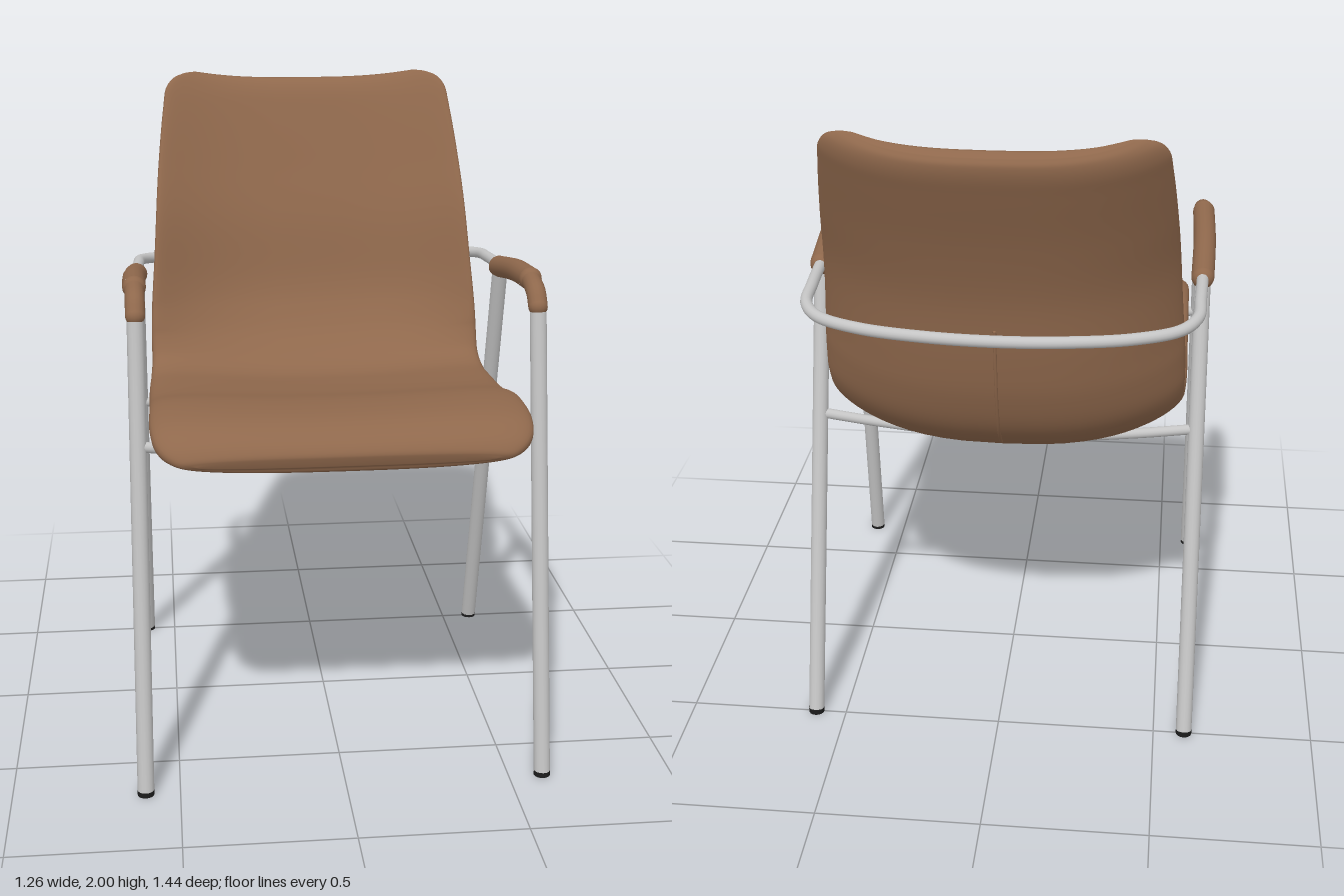
import * as THREE from 'three';

const leather = new THREE.MeshStandardMaterial({ color: 0x8f684c });
leather.name = 'brown leather';
const steel = new THREE.MeshStandardMaterial({ color: 0xc4c4c4 });
steel.name = 'brushed steel';
const rubber = new THREE.MeshStandardMaterial({ color: 0x1c1c1c });
rubber.name = 'black rubber';

const V = (x, y, z) => new THREE.Vector3(x, y, z);

function add(parent, name, geometry, material) {
  const mesh = new THREE.Mesh(geometry, material);
  mesh.name = name;
  parent.add(mesh);
  return mesh;
}

// Round bar through points, with domed ends
function bar(parent, name, points, radius, material, segments = 32) {
  const group = new THREE.Group();
  group.name = name;
  parent.add(group);
  const curve = new THREE.CatmullRomCurve3(points);
  add(group, name + 'Tube', new THREE.TubeGeometry(curve, segments, radius, 16), material);
  for (const p of [points[0], points[points.length - 1]]) {
    const end = add(group, name + 'End', new THREE.SphereGeometry(radius, 16, 10), material);
    end.position.copy(p);
  }
}

// Shell stations from front lip to top of back: z, y, half width, half thickness, edge curl
const stations = [
  [0.718, 1.035, 0.43, 0.01, 0.0],
  [0.708, 1.038, 0.49, 0.035, 0.005],
  [0.66, 1.05, 0.54, 0.06, 0.018],
  [0.57, 1.066, 0.56, 0.07, 0.033],
  [0.40, 1.063, 0.56, 0.068, 0.045],
  [0.20, 1.02, 0.56, 0.07, 0.05],
  [0.00, 0.992, 0.56, 0.073, 0.062],
  [-0.15, 0.975, 0.555, 0.082, 0.08],
  [-0.27, 1.0, 0.55, 0.092, 0.1],
  [-0.37, 1.075, 0.55, 0.09, 0.135],
  [-0.435, 1.18, 0.547, 0.075, 0.16],
  [-0.477, 1.30, 0.54, 0.06, 0.17],
  [-0.52, 1.50, 0.525, 0.05, 0.155],
  [-0.58, 1.68, 0.51, 0.045, 0.13],
  [-0.645, 1.85, 0.49, 0.046, 0.11],
  [-0.674, 1.92, 0.475, 0.044, 0.1],
  [-0.692, 1.957, 0.43, 0.032, 0.085],
  [-0.699, 1.971, 0.38, 0.012, 0.072],
];
const pathCurve = new THREE.CatmullRomCurve3(stations.map(s => V(s[2], s[1], s[0])), false, 'catmullrom', 0.5);
const sizeCurve = new THREE.CatmullRomCurve3(stations.map(s => V(s[3], s[4], 0)), false, 'catmullrom', 0.5);

// Point on the shell: t runs front to top, angle runs round the section
function shellPoint(t, angle) {
  const p = pathCurve.getPoint(t), size = sizeCurve.getPoint(t);
  const d = pathCurve.getPoint(Math.min(1, t + 0.004)).sub(pathCurve.getPoint(Math.max(0, t - 0.004)));
  const len = Math.hypot(d.y, d.z);
  const soft = (v, e) => Math.sign(v) * Math.pow(Math.abs(v), e);
  const u = soft(Math.cos(angle), 0.65);
  const n = soft(Math.sin(angle), 0.8) * size.x + size.y * Math.pow(Math.abs(u), 2.1 + 0.9 * t);
  return V(u * p.x, p.y - (d.z / len) * n, p.z + (d.y / len) * n);
}

function shellGeometry() {
  const rows = 102, cols = 64, pos = [], index = [];
  for (let i = 0; i <= rows; i++)
    for (let j = 0; j < cols; j++)
      pos.push(...shellPoint(i / rows, (j / cols) * Math.PI * 2).toArray());
  for (let i = 0; i < rows; i++)
    for (let j = 0; j < cols; j++) {
      const k = (j + 1) % cols;
      const a = i * cols + j, b = i * cols + k, c = a + cols, d = b + cols;
      index.push(a, c, b, b, c, d);
    }
  // Close each thin end by joining upper and lower edges
  const last = rows * cols;
  for (let j = 0; j < cols / 2; j++) {
    const a = j, b = j + 1, c = (cols - j) % cols, d = cols - j - 1;
    index.push(a, b, d, a, d, c);
    index.push(last + a, last + d, last + b, last + a, last + c, last + d);
  }
  const g = new THREE.BufferGeometry();
  g.setAttribute('position', new THREE.Float32BufferAttribute(pos, 3));
  g.setIndex(index);
  g.computeVertexNormals();
  return g;
}

// Thin patch that follows the underside, its rim tucked into the shell
function panelGeometry() {
  const g = new THREE.PlaneGeometry(1, 1, 30, 30);
  const pos = g.attributes.position;
  for (let i = 0; i < pos.count; i++) {
    const u = pos.getX(i), v = pos.getY(i);
    const p = shellPoint(0.32 - 0.2 * v, -Math.PI / 2 + 1.3 * u);
    const rim = Math.max(Math.abs(u), Math.abs(v)) > 0.499;
    pos.setXYZ(i, p.x, p.y + (rim ? 0.004 : -0.008), p.z);
  }
  g.computeVertexNormals();
  return g;
}

export function createModel() {
  const chair = new THREE.Group();
  chair.name = 'armchair';

  // Upholstered one-piece seat and back
  add(chair, 'seatShell', shellGeometry(), leather);
  add(chair, 'undersidePanel', panelGeometry(), leather);

  // Seam down the middle of the lower back
  const seam = [];
  for (let i = 0; i <= 12; i++) seam.push(shellPoint(0.5 + 0.18 * i / 12, -Math.PI / 2));
  bar(chair, 'backSeam', seam, 0.005, leather, 40);

  for (const [side, s] of [['left', 1], ['right', -1]]) {
    const half = new THREE.Group();
    half.name = side + 'SideFrame';
    chair.add(half);

    // Legs and rubber feet
    const legs = [
      ['frontLeg', V(s * 0.603, 0.012, 0.695), V(s * 0.592, 1.4, 0.463)],
      ['backLeg', V(s * 0.597, 0.012, -0.5), V(s * 0.592, 1.4, -0.1)],
    ];
    for (const [name, foot, top] of legs) {
      add(half, name, new THREE.TubeGeometry(new THREE.LineCurve3(foot, top), 1, 0.025, 16), steel);
      const cap = add(half, name + 'Foot', new THREE.CylinderGeometry(0.025, 0.025, 0.016, 16), rubber);
      cap.position.set(foot.x, 0.008, foot.z);
    }

    // Padded armrest, with a slimmer sleeve bending down over the front leg
    bar(half, 'armrest', [
      V(s * 0.594, 1.472, 0.335), V(s * 0.597, 1.452, 0.12), V(s * 0.592, 1.415, -0.11),
    ], 0.035, leather);
    bar(half, 'armrestSleeve', [
      V(s * 0.592, 1.415, 0.458), V(s * 0.592, 1.45, 0.425), V(s * 0.594, 1.474, 0.33),
    ], 0.029, leather);

    // Short struts from the front legs to the seat
    bar(half, 'frontStrut', [V(s * 0.595, 1.04, 0.525), V(s * 0.5, 1.025, 0.515), V(s * 0.34, 1.0, 0.5)], 0.016, steel);
  }

  // Rail sweeping behind the back, from arm to arm
  const rail = [
    [0.592, 1.42, -0.1], [0.586, 1.412, -0.28], [0.578, 1.402, -0.4], [0.53, 1.393, -0.475],
    [0.4, 1.389, -0.54], [0.2, 1.386, -0.577],
  ];
  bar(chair, 'backRail', [
    ...rail.map(p => V(...p)), V(0, 1.385, -0.588), ...rail.map(p => V(-p[0], p[1], p[2])).reverse(),
  ], 0.018, steel, 96);

  // Cross bar under the rear of the seat
  bar(chair, 'rearCrossBar', [
    V(0.594, 0.955, -0.228), V(0.4, 0.928, -0.225), V(0.18, 0.906, -0.22),
    V(-0.18, 0.906, -0.22), V(-0.4, 0.928, -0.225), V(-0.594, 0.955, -0.228),
  ], 0.016, steel, 48);

  return chair;
}
